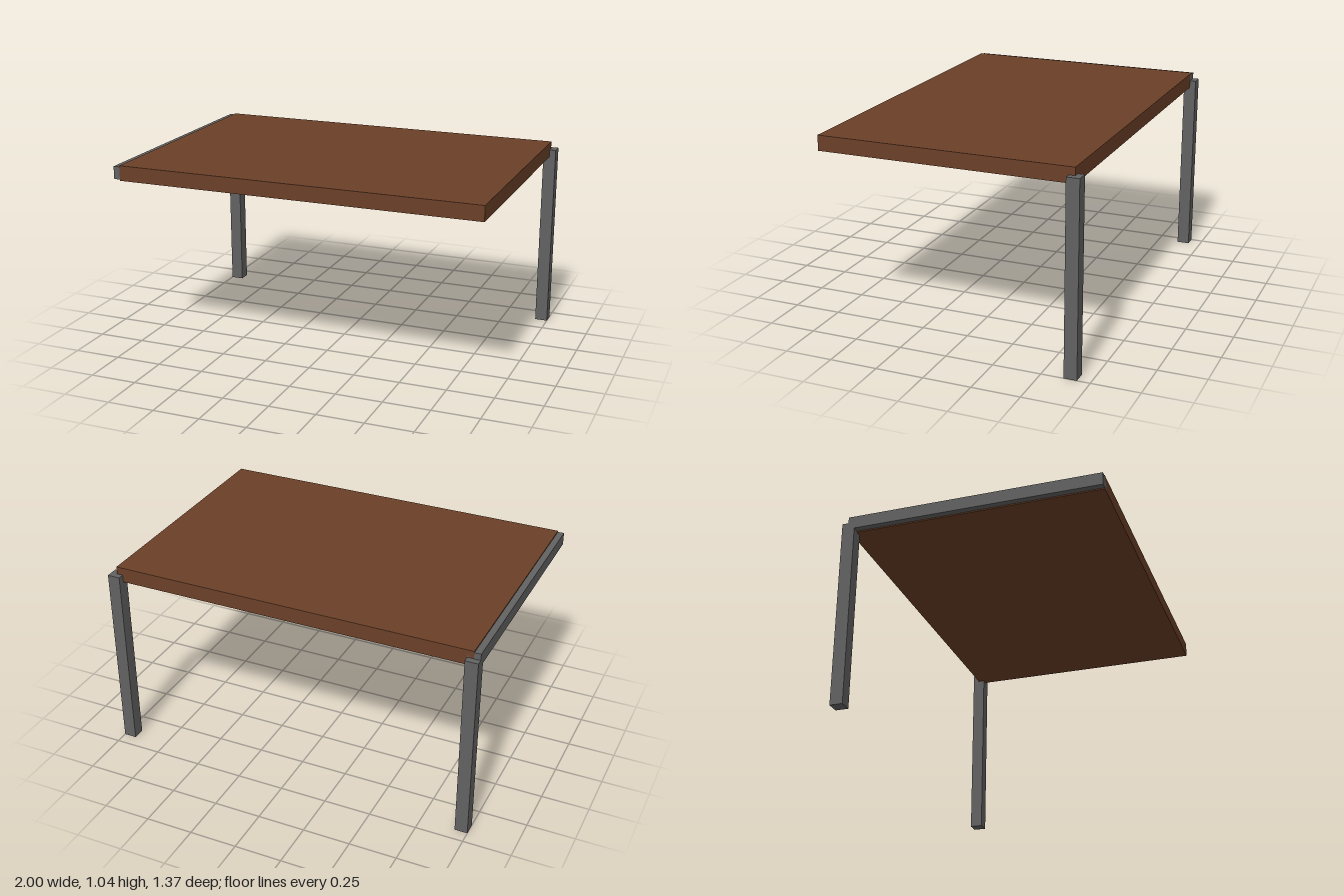
import * as THREE from 'three';

export function createModel() {
  const group = new THREE.Group();
  const wood = new THREE.MeshStandardMaterial({ color: 0x6b4028 });
  const metal = new THREE.MeshStandardMaterial({ color: 0x626262 });

  const addBox = (name, material, size, position) => {
    const mesh = new THREE.Mesh(new THREE.BoxGeometry(...size), material);
    mesh.name = name;
    mesh.position.set(...position);
    group.add(mesh);
  };

  const post = 0.067;            // square section of legs and rail
  const width = 1.933, depth = 1.333;
  const midZ = 0.0167;           // the slab overhangs towards the front
  const backZ = midZ - depth / 2;

  // Slab
  addBox('tableTop', wood, [width, 0.08, depth], [0, 1, midZ]);

  // Side rail half sunk into the slab's right edge
  addBox('sideRail', metal, [post, post, depth], [-width / 2, 1, midZ]);

  // Two legs centred on the back corners
  for (const [name, side] of [['leftBackLeg', 1], ['rightBackLeg', -1]]) {
    addBox(name, metal, [post, 1, post], [side * width / 2, 0.5, backZ]);
  }

  return group;
}
